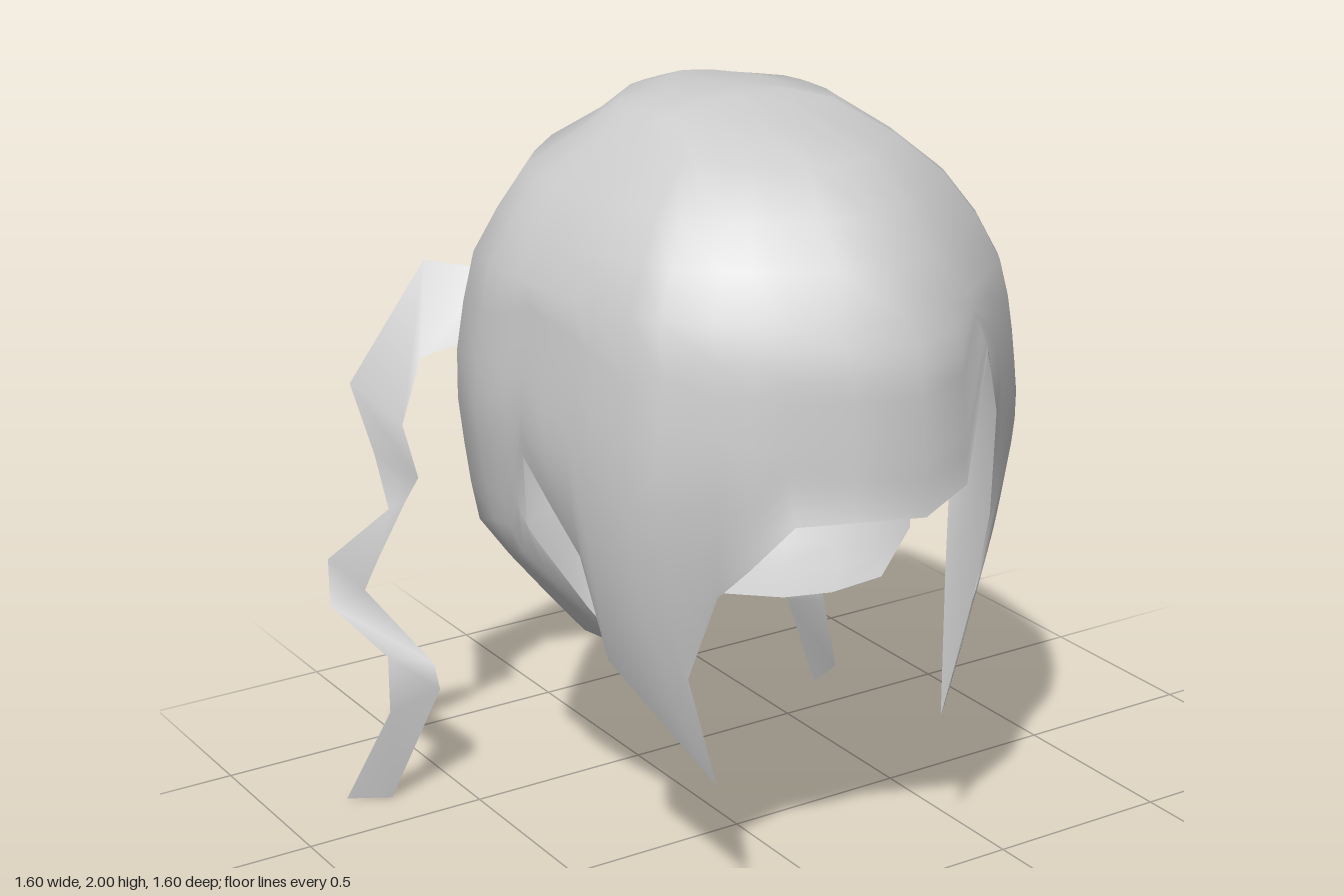
import * as THREE from 'three';
import { mergeVertices } from 'three/addons/utils/BufferGeometryUtils.js';

// Dome cross-sections: height, half width, front depth, back depth
const RINGS = [
  [2, 0, 0, 0], [1.985, 0.13, 0.07, -0.25], [1.96, 0.25, 0.18, -0.33],
  [1.895, 0.335, 0.46, -0.41], [1.8, 0.45, 0.58, -0.585], [1.7, 0.52, 0.675, -0.635],
  [1.59, 0.58, 0.725, -0.685], [1.49, 0.593, 0.77, -0.735], [1.38, 0.608, 0.78, -0.78],
  [1.25, 0.62, 0.79, -0.775], [1.14, 0.61, 0.8, -0.77], [0.87, 0.575, 0.72, -0.755],
  [0.77, 0.51, 0.68, -0.67], [0.61, 0.4, 0.65, -0.53], [0.56, 0.26, 0.65, -0.35],
];

// Outline of each cross-section: angle from the front, scale of the ellipse
const OUTLINE = [
  [0, 1], [13, 0.95], [27, 0.96], [42, 0.965], [55, 1.03], [75, 1], [92, 1],
  [115, 1.08], [125, 1.03], [132, 1.01], [149, 1], [163, 0.975], [180, 1],
];

// Hairline: angle from the front, then x, y, z (x is mirrored for the right half)
const FRINGE_LEFT = [
  [0, 0, 1.135, 0.8], [17, 0.17, 1.16, 0.73], [26, 0.26, 1.46, 0.68],
  [39, 0.37, 1.26, 0.58], [53, 0.47, 0.93, 0.44], [58, 0.44, 0.7, 0.42], [63, 0.32, 0.415, 0.455],
];
const FRINGE_RIGHT = [
  [15, 0.15, 1.135, 0.745], [29, 0.29, 1.135, 0.69], [37, 0.36, 1.01, 0.6],
  [44, 0.4, 0.93, 0.53], [55, 0.42, 0.69, 0.43], [62, 0.355, 0.4, 0.455],
];
const SIDE = [
  [71, 0.51, 0.68, 0.21], [76, 0.555, 0.945, 0.16], [83, 0.585, 1.055, 0.075], [90, 0.61, 1.16, -0.01],
  [95, 0.575, 0.95, -0.06], [100, 0.49, 0.77, 0.08], [106, 0.4, 0.65, 0.08],
  [116, 0.32, 0.585, -0.03], [130, 0.22, 0.565, -0.11], [149, 0.12, 0.56, -0.22], [163, 0.05, 0.56, -0.3],
];
const NAPE = [180, 0, 0.56, -0.35];

// Side lock ribbon: outer edge xyz, inner edge xyz
const LOCK = [
  [0.32, 1.42, -0.66, 0.43, 1.28, -0.56], [0.48, 1.45, -0.75, 0.56, 1.23, -0.63],
  [0.69, 1.14, -0.785, 0.61, 1.05, -0.65], [0.65, 0.95, -0.74, 0.575, 0.9, -0.64],
  [0.64, 0.81, -0.69, 0.6, 0.83, -0.67], [0.77, 0.66, -0.8, 0.675, 0.68, -0.69],
  [0.775, 0.53, -0.79, 0.7, 0.58, -0.73], [0.69, 0.42, -0.63, 0.565, 0.38, -0.61],
  [0.7, 0.27, -0.61, 0.56, 0.31, -0.59], [0.8, 0.01, -0.69, 0.69, 0.005, -0.64],
];

// Linear lookup in a table keyed by its first column
function lookup(table, key) {
  const dir = Math.sign(table[1][0] - table[0][0]);
  let i = 0;
  while (i < table.length - 2 && (key - table[i + 1][0]) * dir > 0) i++;
  const [a, b] = [table[i], table[i + 1]];
  const t = THREE.MathUtils.clamp((key - a[0]) / (b[0] - a[0]), 0, 1);
  return a.map((v, k) => v + (b[k] - v) * t);
}

function ringPoint(y, deg) {
  const [, w, front, back] = lookup(RINGS, y);
  const scale = lookup(OUTLINE, deg)[1];
  const th = THREE.MathUtils.degToRad(deg);
  const c = Math.cos(th);
  return new THREE.Vector3(w * Math.sin(th) * scale, y, (deg < 90 ? front : -back) * c * scale);
}

// One strip of points from the crown down to the hairline
function column([deg, x, y, z], side) {
  const pts = RINGS.slice(0, 7).map((r) => ringPoint(r[0], deg));
  const start = 1.59;
  // front hair hangs straight, back hair follows the curl; both ease into the hairline
  const hangs = deg <= 90;
  const anchor = Math.max(hangs ? 1.25 : 1, y + 0.12);
  const base = (h) => ringPoint(hangs ? Math.max(h, 1.25) : h, deg).setY(h);
  const shift = new THREE.Vector3(x, y, z).sub(base(y));
  const steps = 12;
  for (let i = 1; i <= steps; i++) {
    const h = start + (y - start) * Math.sin((i / steps) * Math.PI / 2);
    const u = THREE.MathUtils.clamp((anchor - h) / (anchor - y), 0, 1);
    pts.push(base(h).addScaledVector(shift, u ** 2));
  }
  pts.forEach((p) => { p.x *= side; });
  return pts;
}

// Surface through rows of points; closed joins the last strip to the first
function loft(strips, closed) {
  const n = strips[0].length;
  const index = [];
  const count = closed ? strips.length : strips.length - 1;
  for (let c = 0; c < count; c++) {
    const d = (c + 1) % strips.length;
    for (let r = 0; r < n - 1; r++) {
      const [a, b, e, f] = [c * n + r, c * n + r + 1, d * n + r + 1, d * n + r];
      if (!(closed && r === 0)) index.push(a, e, f);
      index.push(a, b, e);
    }
  }
  let geo = new THREE.BufferGeometry().setFromPoints(strips.flat());
  geo.setIndex(index);
  geo = mergeVertices(geo, 1e-4);
  geo.computeVertexNormals();
  return geo;
}

export function createModel() {
  const group = new THREE.Group();
  group.name = 'hairpiece';
  const hair = new THREE.MeshStandardMaterial({ name: 'hairGrey', color: 0xcccccc, side: THREE.DoubleSide });

  // Cap with fringe, front locks and curled-under back
  const strips = [
    ...[...FRINGE_LEFT, ...SIDE, NAPE].map((c) => column(c, 1)),
    ...[...FRINGE_RIGHT, ...SIDE].reverse().map((c) => column(c, -1)),
  ];
  const cap = new THREE.Mesh(loft(strips, true), hair);
  cap.name = 'hairCap';
  group.add(cap);

  // Wavy ribbons hanging behind each side
  for (const side of [1, -1]) {
    const edge = (k) => LOCK.map((s) => new THREE.Vector3(s[k] * side, s[k + 1], s[k + 2]));
    const edges = side > 0 ? [edge(3), edge(0)] : [edge(0), edge(3)];
    const lock = new THREE.Mesh(loft(edges, false), hair);
    lock.name = side > 0 ? 'leftHangingLock' : 'rightHangingLock';
    group.add(lock);
  }
  return group;
}
